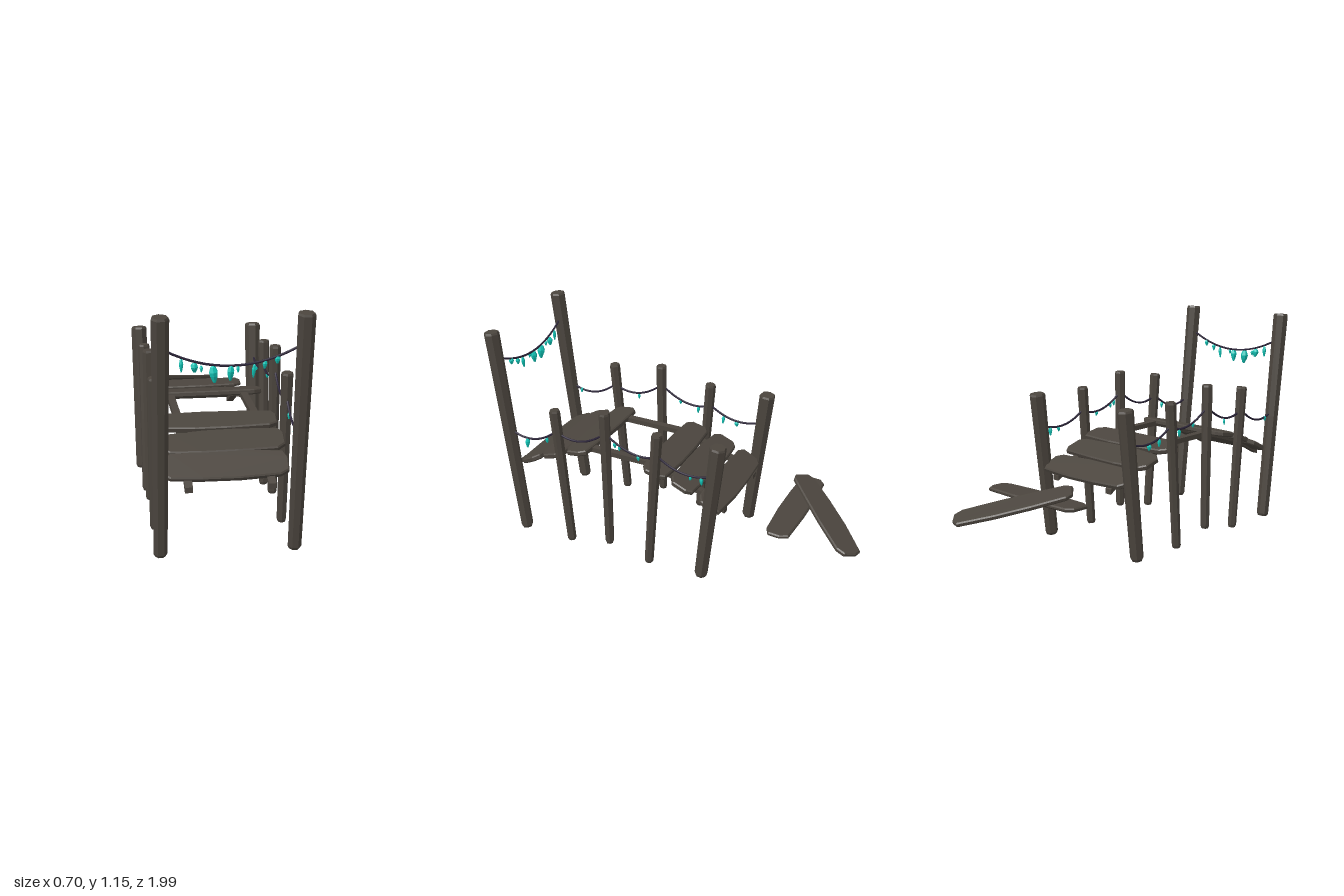
import * as THREE from 'three';

export function createModel() {
  const model = new THREE.Group();
  const mat = (name, color, flat = true) => {
    const m = new THREE.MeshStandardMaterial({ color, flatShading: flat });
    m.name = name;
    return m;
  };
  const wood = mat('weathered wood', 0x4b453e);
  const cord = mat('dark cord', 0x2b2438, false);
  const gem = mat('teal crystal', 0x10c4b6);

  const add = (name, geo, material, parent = model) => {
    const m = new THREE.Mesh(geo, material);
    m.name = name;
    parent.add(m);
    return m;
  };
  const V = (x, y, z) => new THREE.Vector3(x, y, z);

  // Leaning, tapered posts with chamfered ends: [z bottom, y bottom, z top, y top, radius]
  const posts = [
    ['frontPost', 0.842, 0.005, 0.958, 1.145, 0.04],
    ['secondPost', 0.552, 0.005, 0.61, 0.78, 0.029],
    ['middlePost', 0.315, 0.055, 0.315, 0.83, 0.029],
    ['fourthPost', 0.08, 0.005, 0.02, 0.78, 0.029],
    ['backPost', -0.222, 0.015, -0.31, 0.79, 0.042],
  ];
  for (const side of [-1, 1]) {
    posts.forEach(([name, z0, y0, z1, y1, r], i) => {
      const len = Math.hypot(z1 - z0, y1 - y0);
      const profile = [
        [0, 0], [r * 0.65, 0], [r * 0.82, 0.014], [r * 0.9, len * 0.5],
        [r, len - 0.01], [r * 0.88, len], [0, len],
      ].map(([a, b]) => new THREE.Vector2(a, b));
      const geo = new THREE.LatheGeometry(profile, 7);
      geo.rotateY(i * 1.3 + side * 0.4);
      const post = add(name + (side > 0 ? 'Left' : 'Right'), geo, wood);
      post.position.set(side * 0.31, y0, z0);
      post.rotation.x = Math.atan2(z1 - z0, y1 - y0);
    });
  }

  // Worn plank lying flat, with uneven rounded ends and bevelled edges
  const plankGeometry = (length, width, thick, seed) => {
    const wob = (k) => 0.007 * Math.sin(seed * 2.7 + k * 1.9);
    const a = length / 2 - 0.006, b = width / 2 - 0.006;
    const pts = [
      [-a, -b * 0.55 + wob(1)], [-a * 0.9, -b * 0.88], [-a * 0.4, -b + wob(2) * 0.5], [a * 0.2, -b],
      [a * 0.85, -b * 0.88 + wob(3) * 0.5], [a * 0.98, -b * 0.55], [a, b * 0.4 + wob(4)],
      [a * 0.94, b * 0.85], [a * 0.3, b + wob(5) * 0.4], [-a * 0.3, b],
      [-a * 0.88, b * 0.84 + wob(6) * 0.5], [-a * 0.98, b * 0.5],
    ].map(([x, y]) => new THREE.Vector2(x, y));
    const geo = new THREE.ExtrudeGeometry(new THREE.Shape(pts), {
      depth: thick - 0.012, bevelEnabled: true, bevelThickness: 0.006, bevelSize: 0.006, bevelSegments: 1,
    });
    geo.translate(0, 0, -(thick - 0.012) / 2);
    return geo.rotateX(-Math.PI / 2);
  };

  // Deck planks following the arch: [z back, y back, z front, y front]
  const deck = [
    [0.738, 0.453, 0.888, 0.378], [0.6, 0.503, 0.752, 0.452], [0.45, 0.541, 0.602, 0.512],
    [-0.008, 0.512, 0.145, 0.541], [-0.162, 0.455, -0.012, 0.506], [-0.308, 0.385, -0.168, 0.45],
  ];
  deck.forEach(([z0, y0, z1, y1], i) => {
    const geo = plankGeometry(0.575, Math.hypot(z1 - z0, y1 - y0), 0.028, i + 1);
    const plank = add('deckPlank' + (i + 1), geo, wood);
    plank.position.set(i % 2 ? 0.003 : -0.006, (y0 + y1) / 2, (z0 + z1) / 2);
    plank.rotation.set(Math.atan2(y0 - y1, z1 - z0), (i % 2 ? 1 : -1) * 0.012, 0);
  });

  // Two broken planks drifting behind the bridge
  const flat = add('brokenPlankFlat', plankGeometry(0.595, 0.145, 0.02, 8), wood);
  flat.position.set(0, 0.362, -0.605);
  flat.rotation.y = 0.02;
  const tilted = add('brokenPlankTilted', plankGeometry(0.585, 0.14, 0.024, 11), wood);
  tilted.position.set(-0.01, 0.355, -0.762);
  tilted.rotation.set(-0.315, 0.83, 0);

  // Arched rails under the deck
  const arch = [
    [0.92, 0.35], [0.76, 0.433], [0.6, 0.488], [0.46, 0.53],
    [0.15, 0.53], [-0.01, 0.488], [-0.17, 0.433], [-0.3, 0.362],
  ];
  const outline = [
    ...arch.map(([z, y]) => new THREE.Vector2(-z, y + 0.013)),
    ...arch.slice().reverse().map(([z, y]) => new THREE.Vector2(-z, y - 0.013)),
  ];
  for (const side of [-1, 1]) {
    const geo = new THREE.ExtrudeGeometry(new THREE.Shape(outline), { depth: 0.036, bevelEnabled: false });
    geo.translate(0, 0, -0.018).rotateY(Math.PI / 2);
    add(side > 0 ? 'railLeft' : 'railRight', geo, wood).position.x = side * 0.187;
  }

  // Sagging cords; the curve passes through its middle point
  const cordThrough = (name, a, mid, b) => {
    const ctrl = mid.clone().multiplyScalar(2).addScaledVector(a, -0.5).addScaledVector(b, -0.5);
    add(name, new THREE.TubeGeometry(new THREE.QuadraticBezierCurve3(a, ctrl, b), 16, 0.0055, 6), cord);
  };
  cordThrough('frontCord', V(-0.29, 0.995, 0.942), V(0, 0.918, 0.935), V(0.29, 0.998, 0.942));
  const spans = [
    [0.9, 0.605, 0.75, 0.577, 0.6, 0.665], [0.6, 0.65, 0.46, 0.632, 0.315, 0.715],
    [0.315, 0.715, 0.17, 0.638, 0.03, 0.645], [0.03, 0.665, -0.12, 0.595, -0.28, 0.617],
  ];
  for (const side of [-1, 1]) {
    const x = side * 0.31;
    spans.forEach(([z0, y0, zm, ym, z1, y1], i) =>
      cordThrough('sideCord' + (side > 0 ? 'Left' : 'Right') + (i + 1), V(x, y0, z0), V(x, ym, zm), V(x, y1, z1)));
  }

  // Faceted crystals hanging from the cords: x, z, top y, length, width
  const dropProfile = [[0, 0], [0.35, 0.06], [0.85, 0.4], [1, 0.62], [0.6, 0.88], [0, 1]];
  const crystals = new THREE.Group();
  crystals.name = 'crystals';
  model.add(crystals);
  const hang = (x, z, top, length, width, i) => {
    const pts = dropProfile.map(([r, y]) => new THREE.Vector2((r * width) / 2, (y - 1) * length));
    const geo = new THREE.LatheGeometry(pts, 6);
    const c = add('crystal', geo, gem, crystals);
    c.position.set(x, top, z);
    c.rotation.set(Math.sin(i * 2.1) * 0.12, i, Math.sin(i * 1.7) * 0.12);
  };
  [
    [-0.22, 0.958, 0.062, 0.02], [-0.165, 0.938, 0.048, 0.034], [-0.135, 0.925, 0.03, 0.016],
    [-0.086, 0.924, 0.08, 0.042], [-0.007, 0.922, 0.072, 0.034], [0.022, 0.918, 0.03, 0.016],
    [0.094, 0.925, 0.065, 0.02], [0.14, 0.938, 0.04, 0.022], [0.193, 0.958, 0.038, 0.026],
  ].forEach(([x, top, len, w], i) => hang(x, 0.937, top, len, w, i));
  [
    [1, 0.79, 0.578, 0.06, 0.026], [1, 0.67, 0.607, 0.036, 0.018], [-1, 0.83, 0.586, 0.03, 0.02],
    [-1, 0.46, 0.63, 0.036, 0.014], [1, 0.262, 0.678, 0.034, 0.02], [1, 0.235, 0.662, 0.028, 0.016],
    [-1, 0.2, 0.65, 0.028, 0.018], [1, 0.13, 0.635, 0.03, 0.018], [-1, 0.09, 0.634, 0.044, 0.018],
    [-1, -0.06, 0.608, 0.046, 0.018], [-1, -0.135, 0.594, 0.034, 0.024],
    [1, -0.165, 0.594, 0.03, 0.016], [1, -0.22, 0.6, 0.048, 0.02],
  ].forEach(([side, z, top, len, w], i) => hang(side * 0.31, z, top, len, w, i + 3));

  return model;
}
